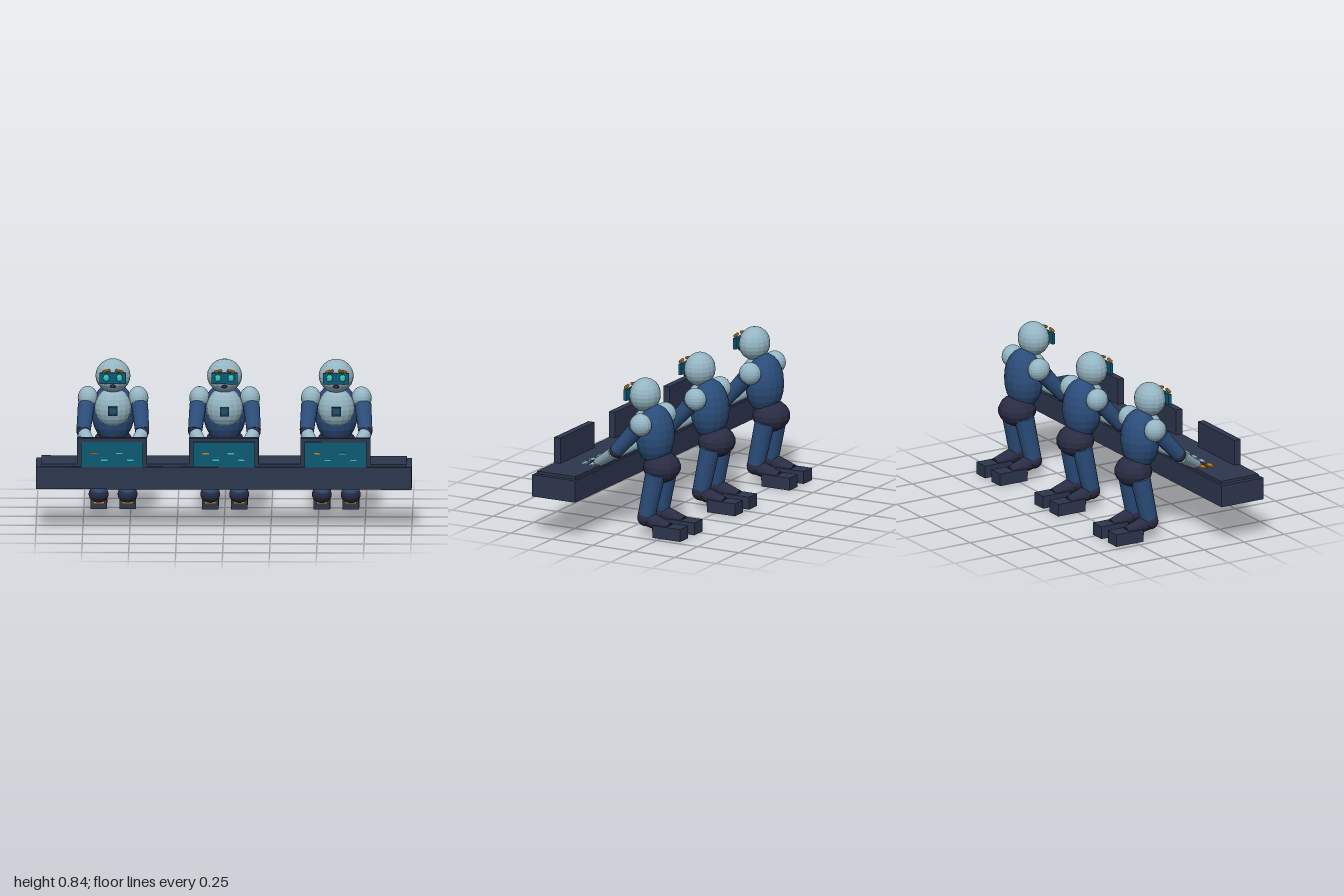
import * as THREE from 'three';

const mat = (name, color) => {
  const m = new THREE.MeshStandardMaterial({ color, flatShading: true });
  m.name = name;
  return m;
};

export function createModel() {
  const pale = mat('pale shell', 0x94b5c3);
  const navy = mat('navy suit', 0x2b4d7a);
  const dark = mat('dark joints', 0x2a2c44);
  const slate = mat('slate console', 0x2d364e);
  const teal = mat('teal glass', 0x0d5a72);
  const cyan = mat('cyan light', 0x2fc6c4);
  const orange = mat('orange accent', 0xcb8322);

  const add = (parent, name, geo, material, x, y, z) => {
    const m = new THREE.Mesh(geo, material);
    m.name = name;
    m.position.set(x, y, z);
    parent.add(m);
    return m;
  };
  const box = (p, name, material, w, h, d, x, y, z) =>
    add(p, name, new THREE.BoxGeometry(w, h, d), material, x, y, z);
  const ball = (p, name, material, rx, ry, rz, x, y, z, seg = 16) =>
    add(p, name, new THREE.SphereGeometry(1, seg, Math.round(seg * 0.75)).scale(rx, ry, rz), material, x, y, z);
  // Tapered limb running from point a to point b
  const limb = (p, name, material, a, b, ra, rb) => {
    const from = new THREE.Vector3(...a), to = new THREE.Vector3(...b);
    const dir = to.clone().sub(from);
    const m = add(p, name, new THREE.CylinderGeometry(rb, ra, dir.length(), 16), material, 0, 0, 0);
    m.position.copy(from).add(to).multiplyScalar(0.5);
    m.quaternion.setFromUnitVectors(new THREE.Vector3(0, 1, 0), dir.normalize());
    return m;
  };

  function makeRobot() {
    const g = new THREE.Group();
    g.name = 'robot';

    // Body
    ball(g, 'torso', navy, 0.115, 0.165, 0.102, 0, 0.535, -0.152);
    ball(g, 'chestPlate', pale, 0.097, 0.108, 0.078, 0, 0.57, -0.101);
    ball(g, 'pelvis', dark, 0.107, 0.085, 0.1, 0, 0.362, -0.193, 12);
    box(g, 'badge', dark, 0.05, 0.05, 0.01, 0, 0.565, -0.025);
    box(g, 'badgeLight', teal, 0.034, 0.028, 0.004, 0, 0.568, -0.019);

    // Head and face
    ball(g, 'head', pale, 0.093, 0.091, 0.082, 0, 0.747, -0.09);
    box(g, 'visor', teal, 0.14, 0.06, 0.016, 0, 0.748, -0.007);
    ball(g, 'mouth', dark, 0.016, 0.01, 0.006, 0, 0.705, -0.001, 12);

    for (const s of [-1, 1]) {
      ball(g, 'eye', cyan, 0.016, 0.019, 0.008, s * 0.035, 0.751, 0.001, 12);
      const brow = add(g, 'brow', new THREE.CapsuleGeometry(0.008, 0.03, 3, 8), orange, s * 0.035, 0.788, 0.002);
      brow.rotation.z = Math.PI / 2 - s * 0.2;

      // Arm
      ball(g, 'shoulder', pale, 0.054, 0.062, 0.061, s * 0.134, 0.617, -0.138);
      limb(g, 'upperArm', navy, [s * 0.142, 0.585, -0.11], [s * 0.156, 0.465, -0.006], 0.045, 0.038);
      ball(g, 'elbow', dark, 0.037, 0.037, 0.037, s * 0.156, 0.46, -0.003);
      limb(g, 'forearm', pale, [s * 0.154, 0.45, 0.01], [s * 0.085, 0.36, 0.15], 0.036, 0.026);
      ball(g, 'hand', dark, 0.024, 0.016, 0.028, s * 0.08, 0.355, 0.172, 12);
      box(g, 'thumb', orange, 0.028, 0.014, 0.024, s * 0.068, 0.362, 0.13);

      // Leg
      limb(g, 'thigh', navy, [s * 0.066, 0.34, -0.19], [s * 0.077, 0.1, -0.142], 0.054, 0.047);
      ball(g, 'knee', dark, 0.053, 0.046, 0.048, s * 0.077, 0.094, -0.141);
      limb(g, 'shin', dark, [s * 0.077, 0.09, -0.15], [s * 0.077, 0.052, -0.28], 0.042, 0.033);
      box(g, 'foot', slate, 0.088, 0.068, 0.17, s * 0.077, 0.034, -0.287);
      box(g, 'toeStrip', orange, 0.06, 0.014, 0.012, s * 0.077, 0.038, -0.197);
    }
    return g;
  }

  function makeStation() {
    const g = new THREE.Group();
    g.name = 'station';
    // Screen facing forward with small readout dashes
    box(g, 'screenFrame', slate, 0.372, 0.155, 0.038, 0, 0.4175, 0.342);
    box(g, 'screenPanel', teal, 0.33, 0.135, 0.008, 0, 0.4075, 0.365);
    [-0.095, -0.042, 0.037, 0.096].forEach((x, i) =>
      box(g, 'readout', i ? cyan : orange, 0.034, 0.007, 0.004, x, i % 2 ? 0.378 : 0.414, 0.37));
    // Two rows of keys
    for (let c = 0; c < 4; c++)
      for (const z of [0.162, 0.208])
        box(g, 'key', c ? pale : orange, 0.05, 0.009, 0.026, -0.123 + c * 0.08, 0.358, z);
    return g;
  }

  const model = new THREE.Group();
  model.name = 'robotConsole';
  box(model, 'desk', slate, 2, 0.12, 0.262, 0, 0.28, 0.24);
  box(model, 'deskTop', slate, 1.944, 0.016, 0.236, 0, 0.347, 0.24);
  for (const x of [-0.594, 0, 0.594]) {
    const robot = makeRobot(), station = makeStation();
    robot.position.x = station.position.x = x;
    model.add(robot, station);
  }
  return model;
}
